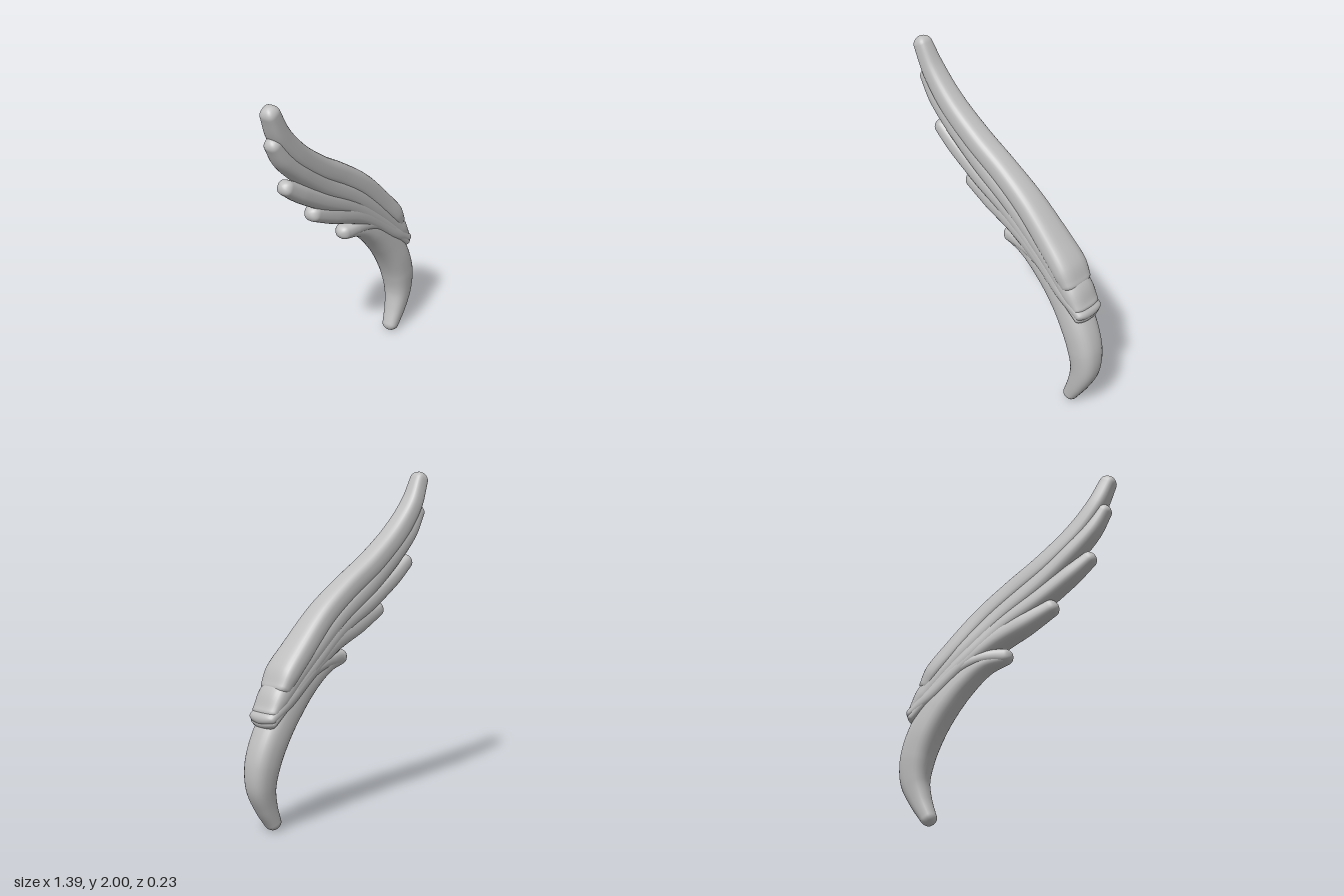
import * as THREE from 'three';

const SIDES = 28, STEPS = 56, CAP = 8;

// Lofts a rounded plume along stations of [x, y, half width, half depth, z].
function plume(name, stations, material, power = 2.5) {
  const path = new THREE.CatmullRomCurve3(
    stations.map(([x, y, , , z]) => new THREE.Vector3(x, y, z)));
  const size = new THREE.CatmullRomCurve3(
    stations.map(([, , r, d]) => new THREE.Vector3(r, d, 0)));
  const rings = [];
  const addRing = (t, scale, push) => {
    const tangent = path.getTangent(t).setZ(0).normalize();
    const s = size.getPoint(t);
    const centre = path.getPoint(t).addScaledVector(tangent, push * s.x);
    rings.push({ centre, tangent, r: s.x * scale, d: s.y * scale });
  };
  // Rounded start, swept body, rounded end
  for (let i = 0; i < CAP; i++) {
    const a = (i / CAP) * Math.PI / 2;
    addRing(0, Math.max(Math.sin(a), 0.001), -Math.cos(a));
  }
  for (let i = 0; i <= STEPS; i++) addRing(i / STEPS, 1, 0);
  for (let i = 1; i <= CAP; i++) {
    const a = (i / CAP) * Math.PI / 2;
    addRing(1, Math.max(Math.cos(a), 0.001), Math.sin(a));
  }
  const round = v => Math.sign(v) * Math.abs(v) ** (2 / power);
  const pos = [], index = [];
  rings.forEach(({ centre, tangent, r, d }, i) => {
    for (let j = 0; j < SIDES; j++) {
      const a = (j / SIDES) * Math.PI * 2;
      const u = r * round(Math.cos(a)), w = d * round(Math.sin(a));
      pos.push(centre.x + tangent.y * u, centre.y - tangent.x * u, centre.z + w);
      if (i === rings.length - 1) continue;
      const k = (j + 1) % SIDES, p = i * SIDES, q = p + SIDES;
      index.push(p + j, q + j, p + k, p + k, q + j, q + k);
    }
  });
  const geo = new THREE.BufferGeometry();
  geo.setAttribute('position', new THREE.Float32BufferAttribute(pos, 3));
  geo.setIndex(index);
  geo.computeVertexNormals();
  const mesh = new THREE.Mesh(geo, material);
  mesh.name = name;
  return mesh;
}

export function createModel() {
  const group = new THREE.Group();
  group.name = 'wing';
  const grey = new THREE.MeshStandardMaterial({ color: 0xbfbfbf });
  grey.name = 'plain grey';

  // Long leading feather along the upper edge
  group.add(plume('leadingFeather', [
    [0.5, 0.83, 0.05, 0.108, 0], [0.45, 0.905, 0.065, 0.115, 0],
    [0.35, 1.01, 0.07, 0.106, 0], [0.155, 1.205, 0.07, 0.09, 0.005],
    [-0.04, 1.35, 0.07, 0.08, 0.005], [-0.24, 1.48, 0.07, 0.077, 0.005],
    [-0.44, 1.645, 0.066, 0.071, 0.008], [-0.575, 1.81, 0.058, 0.063, 0.01],
    [-0.645, 1.95, 0.05, 0.05, 0.018],
  ], grey, 2.8));

  // Middle feathers fanning out below it
  group.add(plume('secondFeather', [
    [0.575, 0.7, 0.04, 0.1, 0], [0.5, 0.79, 0.07, 0.106, 0],
    [0.28, 1.0, 0.07, 0.098, 0], [0.05, 1.19, 0.07, 0.085, 0.005],
    [-0.2, 1.36, 0.07, 0.076, 0.005], [-0.4, 1.52, 0.066, 0.07, 0.006],
    [-0.54, 1.65, 0.056, 0.06, 0.008], [-0.617, 1.76, 0.045, 0.048, 0.01],
  ], grey));
  group.add(plume('thirdFeather', [
    [0.595, 0.67, 0.035, 0.1, 0], [0.46, 0.78, 0.06, 0.103, 0],
    [0.27, 0.945, 0.065, 0.096, 0], [0.05, 1.12, 0.065, 0.083, 0.005],
    [-0.2, 1.26, 0.062, 0.073, 0.005], [-0.4, 1.385, 0.056, 0.062, 0.006],
    [-0.515, 1.465, 0.045, 0.048, 0.008],
  ], grey));
  group.add(plume('fourthFeather', [
    [0.597, 0.665, 0.038, 0.103, 0], [0.47, 0.76, 0.06, 0.105, 0],
    [0.3, 0.905, 0.065, 0.097, 0], [0.1, 1.045, 0.07, 0.085, 0.005],
    [-0.1, 1.13, 0.066, 0.072, 0.005], [-0.27, 1.2, 0.048, 0.052, 0.006],
  ], grey));

  // Raised short feather over the top of the curved base
  group.add(plume('shortFeather', [
    [0.59, 0.64, 0.035, 0.1, 0], [0.47, 0.76, 0.05, 0.102, 0],
    [0.34, 0.87, 0.05, 0.096, 0], [0.2, 0.935, 0.05, 0.086, 0],
    [0.1, 0.95, 0.048, 0.07, 0.003], [0.022, 0.948, 0.045, 0.05, 0.005],
  ], grey));

  // Curved base tapering to a blunt hook
  group.add(plume('curvedBase', [
    [0.515, 0.048, 0.046, 0.05, 0.022], [0.565, 0.15, 0.063, 0.064, 0.02],
    [0.602, 0.27, 0.083, 0.08, 0.014], [0.592, 0.4, 0.096, 0.094, 0.01],
    [0.535, 0.55, 0.1, 0.1, 0.005], [0.43, 0.71, 0.1, 0.094, 0],
    [0.29, 0.845, 0.085, 0.084, 0], [0.15, 0.922, 0.06, 0.07, 0],
    [0.025, 0.945, 0.045, 0.045, 0.005],
  ], grey));
  return group;
}
